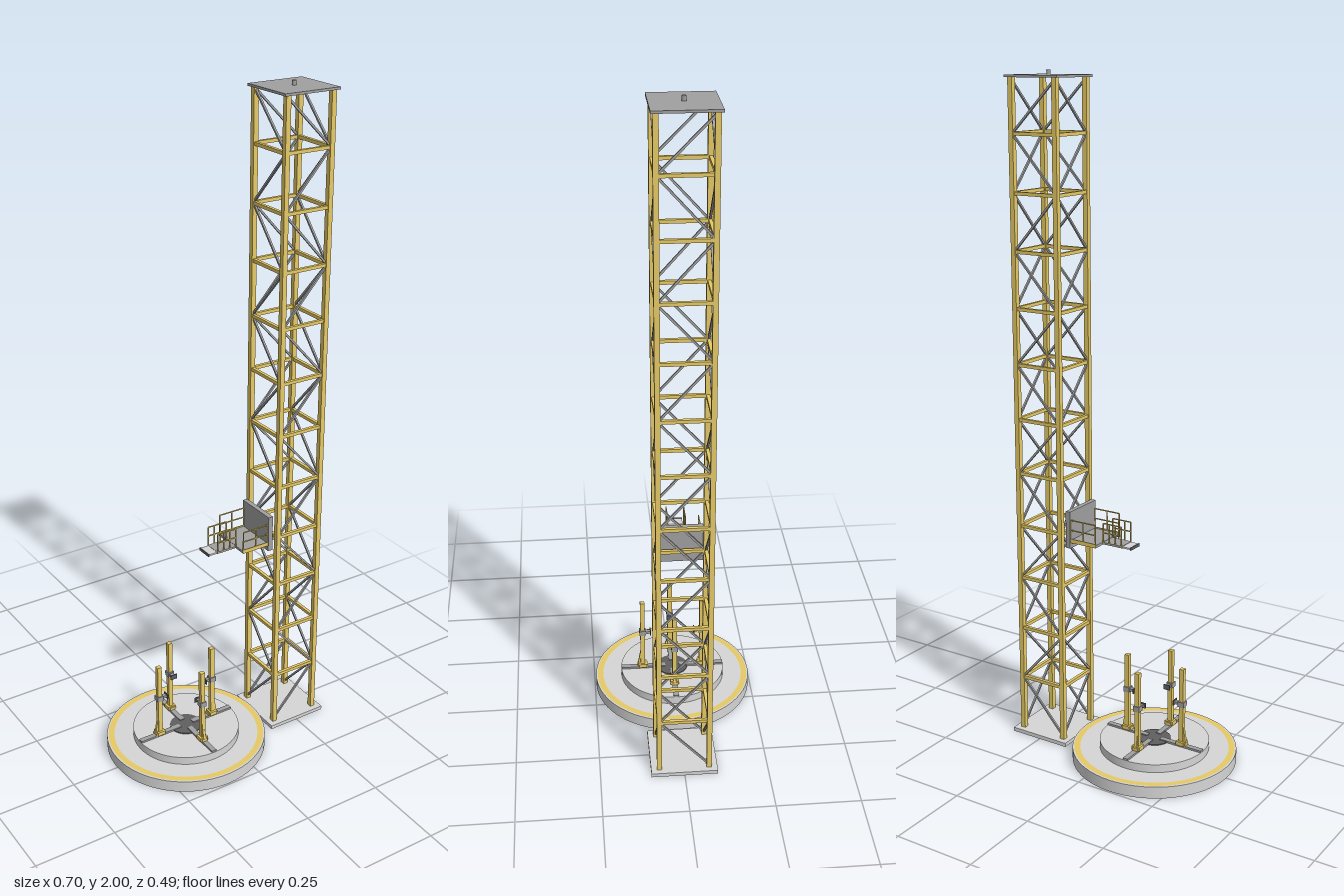
import * as THREE from 'three';

const mat = (name, color) => {
  const m = new THREE.MeshStandardMaterial({ color });
  m.name = name;
  return m;
};

export function createModel() {
  const light = mat('light grey', 0xd6d6d6);
  const steel = mat('steel grey', 0xa0a0a0);
  const dark = mat('dark grey', 0x606060);
  const yellow = mat('safety yellow', 0xe6ca66);

  const model = new THREE.Group();
  model.name = 'launchTower';

  const add = (parent, name, geo, m, x = 0, y = 0, z = 0) => {
    const mesh = new THREE.Mesh(geo, m);
    mesh.name = name;
    mesh.position.set(x, y, z);
    parent.add(mesh);
    return mesh;
  };
  // Box given by its minimum and maximum corners
  const box = (parent, name, m, x0, x1, y0, y1, z0, z1) =>
    add(parent, name, new THREE.BoxGeometry(x1 - x0, y1 - y0, z1 - z0), m,
      (x0 + x1) / 2, (y0 + y1) / 2, (z0 + z1) / 2);
  // Square bar between two points in the parent's frame
  const up = new THREE.Vector3(0, 1, 0);
  const bar = (parent, name, m, a, b, t) => {
    const p = new THREE.Vector3(...a), q = new THREE.Vector3(...b);
    const mesh = add(parent, name, new THREE.BoxGeometry(t, p.distanceTo(q), t), m);
    mesh.position.copy(p).add(q).multiplyScalar(0.5);
    mesh.quaternion.setFromUnitVectors(up, q.sub(p).normalize());
  };
  const group = (name, x = 0) => {
    const g = new THREE.Group();
    g.name = name;
    g.position.x = x;
    model.add(g);
    return g;
  };

  // Round launch pad
  const pad = group('pad', -0.105);
  add(pad, 'padBase', new THREE.CylinderGeometry(0.246, 0.246, 0.036, 64), light, 0, 0.018);
  add(pad, 'padStep', new THREE.CylinderGeometry(0.164, 0.164, 0.025, 64), light, 0, 0.0485);
  const ring = add(pad, 'warningRing', new THREE.RingGeometry(0.223, 0.241, 64), yellow, 0, 0.0372);
  ring.rotation.x = -Math.PI / 2;
  add(pad, 'blastPlate', new THREE.CylinderGeometry(0.049, 0.049, 0.003, 32), dark, 0, 0.0625);

  // Tapered brace behind each hold-down post
  const braceShape = new THREE.Shape();
  braceShape.moveTo(0, 0);
  braceShape.lineTo(0.009, 0);
  braceShape.lineTo(0, 0.05);
  const braceGeo = new THREE.ExtrudeGeometry(braceShape, { depth: 0.008, bevelEnabled: false });
  braceGeo.translate(0, 0, -0.004);

  // Four hold-down posts on radial beams; local +x points outward
  for (let i = 0; i < 4; i++) {
    const arm = new THREE.Group();
    arm.name = 'holdDownArm' + i;
    arm.rotation.y = i * Math.PI / 2;
    pad.add(arm);
    box(arm, 'radialBeam', steel, 0.022, 0.163, 0.061, 0.067, -0.008, 0.008);
    box(arm, 'postFoot', yellow, 0.079, 0.111, 0.067, 0.076, -0.009, 0.009);
    box(arm, 'postFootWide', yellow, 0.082, 0.107, 0.067, 0.079, -0.0135, 0.0135);
    box(arm, 'post', yellow, 0.0875, 0.1015, 0.067, 0.31, -0.007, 0.007);
    add(arm, 'postBrace', braceGeo, yellow, 0.1015, 0.076);
    box(arm, 'collar', steel, 0.0845, 0.1045, 0.19, 0.206, -0.01, 0.01);
    box(arm, 'clampArm', steel, 0.07, 0.085, 0.194, 0.202, -0.006, 0.006);
    box(arm, 'clampPad', dark, 0.068, 0.071, 0.19, 0.206, -0.011, 0.011);
  }

  // Lattice tower
  const tower = group('tower', 0.251);
  const H = 0.074, Y0 = 0.0185, BAYS = 12, STEP = 0.1645, TOP = 1.98;
  box(tower, 'towerBase', light, -0.098, 0.098, 0, 0.012, -0.099, 0.099);
  box(tower, 'towerRoof', steel, -0.089, 0.089, TOP, 1.987, -0.087, 0.087);
  add(tower, 'roofPin', new THREE.CylinderGeometry(0.006, 0.006, 0.013, 16), steel, 0, 1.9935);
  for (const sx of [-1, 1]) for (const sz of [-1, 1]) {
    box(tower, 'towerLeg', yellow, sx * H - 0.0075, sx * H + 0.0075, 0.012, TOP,
      sz * H - 0.0075, sz * H + 0.0075);
  }
  for (let i = 0; i < BAYS; i++) {
    const lo = Y0 + i * STEP, hi = Math.min(lo + STEP, TOP - 0.004);
    const s = i % 2 ? 1 : -1;
    for (const f of [-H, H]) {
      // The roof closes the top bay, so it needs no crossbars
      if (i < BAYS - 1) {
        bar(tower, 'crossbarX', yellow, [-H, hi, f], [H, hi, f], 0.01);
        bar(tower, 'crossbarZ', yellow, [f, hi, -H], [f, hi, H], 0.01);
      }
      bar(tower, 'diagonalX', steel, [s * H, lo, f], [-s * H, hi, f], 0.006);
      bar(tower, 'diagonalZ', steel, [f, lo, s * H], [f, hi, -s * H], 0.006);
    }
  }

  // Access walkway reaching from the tower over the pad
  const walk = group('walkway');
  box(walk, 'mountingPlate', steel, 0.148, 0.163, 0.635, 0.748, -0.068, 0.068);
  box(walk, 'wideDeck', steel, 0.06, 0.15, 0.652, 0.66, -0.063, 0.063);
  box(walk, 'narrowDeck', steel, -0.006, 0.06, 0.653, 0.659, -0.026, 0.026);
  box(walk, 'deckTip', light, -0.033, -0.006, 0.653, 0.658, -0.024, 0.024);
  box(walk, 'tipBumper', dark, -0.036, -0.033, 0.651, 0.66, -0.024, 0.024);

  // Kick plates and railings on both sides
  const railing = (x0, x1, z, top, posts) => {
    for (const y of [(0.66 + top) / 2, top]) {
      bar(walk, 'handrail', yellow, [x0, y, z], [x1, y, z], 0.003);
    }
    for (let i = 0; i < posts; i++) {
      const x = x0 + (x1 - x0) * i / (posts - 1);
      bar(walk, 'railPost', yellow, [x, 0.655, z], [x, top, z], 0.003);
    }
  };
  for (const s of [-1, 1]) {
    box(walk, 'kickPlate', yellow, 0.06, 0.15, 0.652, 0.664, s * 0.064 - 0.0015, s * 0.064 + 0.0015);
    railing(0.061, 0.148, s * 0.064, 0.722, 3);
    railing(-0.004, 0.059, s * 0.026, 0.718, 4);
  }

  return model;
}
